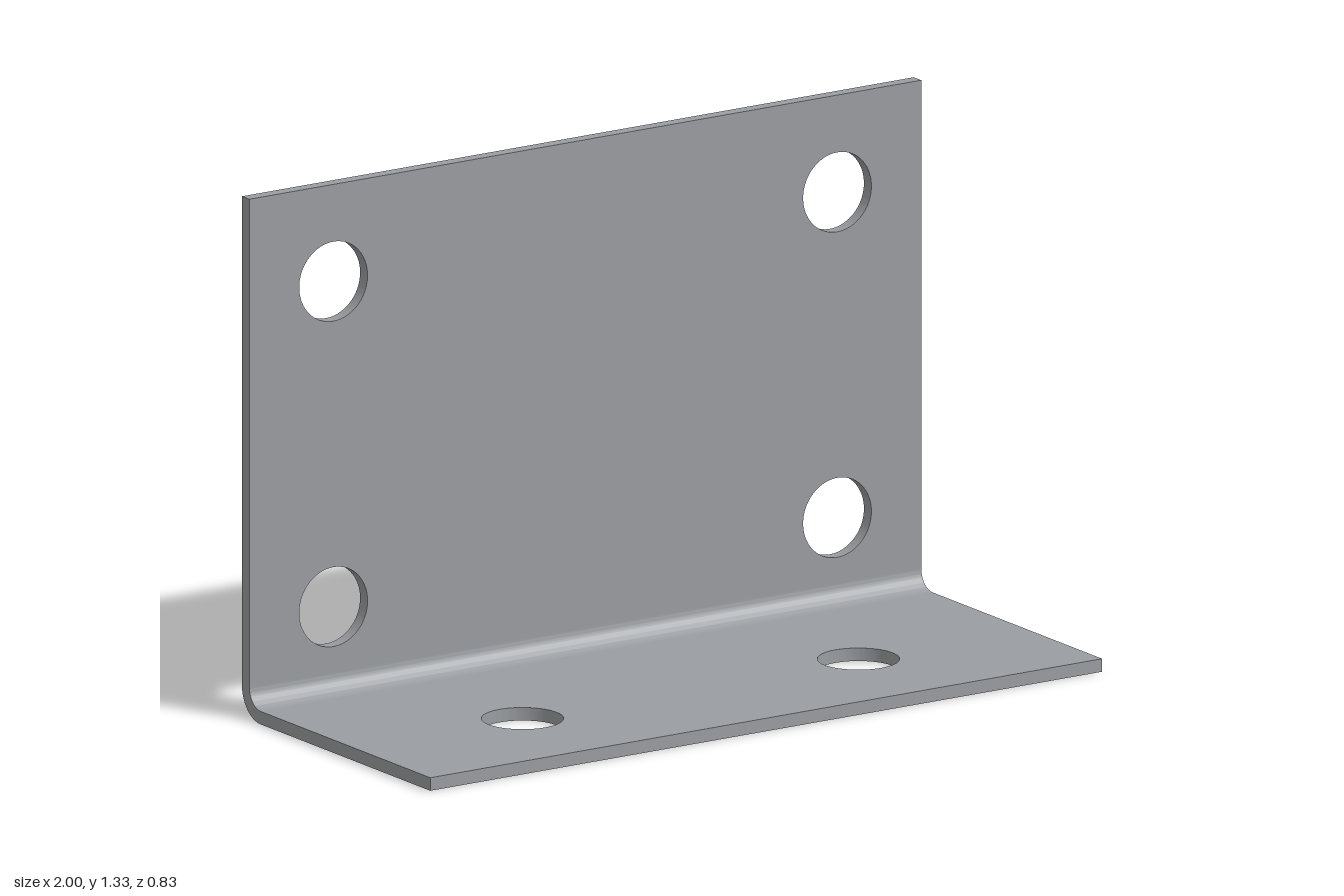
import * as THREE from 'three';
import { toCreasedNormals } from 'three/addons/utils/BufferGeometryUtils.js';

const WIDTH = 2, HEIGHT = 1.3333, DEPTH = 0.8333;
const THICK = 0.0333, OUTER = 0.0833, INNER = OUTER - THICK;
const HOLE = 0.1017;

// Flat sheet in XY with round holes, extruded to the sheet thickness
function sheet(y0, y1, holes) {
  const w = WIDTH / 2;
  const shape = new THREE.Shape();
  shape.moveTo(-w, y0).lineTo(w, y0).lineTo(w, y1).lineTo(-w, y1).closePath();
  for (const [x, y] of holes) {
    shape.holes.push(new THREE.Path().absarc(x, y, HOLE, 0, Math.PI * 2, true));
  }
  return new THREE.ExtrudeGeometry(shape, { depth: THICK, bevelEnabled: false, curveSegments: 48 });
}

export function createModel() {
  const group = new THREE.Group();
  group.name = 'angleBracket';
  const steel = new THREE.MeshStandardMaterial({ color: 0x9a9da1 });
  steel.name = 'steel grey';
  const back = -DEPTH / 2;

  function add(name, geometry) {
    const mesh = new THREE.Mesh(toCreasedNormals(geometry, 0.6), steel);
    mesh.name = name;
    group.add(mesh);
  }

  // Upright flange with four holes
  const wallHoles = [];
  for (const x of [-0.75, 0.75]) for (const y of [0.2517, 1.085]) wallHoles.push([x, y]);
  add('uprightFlange', sheet(OUTER, HEIGHT, wallHoles).translate(0, 0, back));

  // Base flange with two holes, laid flat (sheet y becomes -z)
  const baseHoles = [[-0.5, -0.0817], [0.5, -0.0817]];
  add('baseFlange', sheet(-DEPTH / 2, -back - OUTER, baseHoles).rotateX(-Math.PI / 2));

  // Rounded bend: quarter ring swept along the width
  const cz = back + OUTER, cy = OUTER;
  const ring = new THREE.Shape();
  ring.absarc(cz, cy, OUTER, Math.PI, Math.PI * 1.5, false);
  ring.absarc(cz, cy, INNER, Math.PI * 1.5, Math.PI, true);
  ring.closePath();
  const bend = new THREE.ExtrudeGeometry(ring, { depth: WIDTH, bevelEnabled: false, curveSegments: 24 });
  add('bend', bend.translate(0, 0, -WIDTH / 2).rotateY(-Math.PI / 2));

  return group;
}
